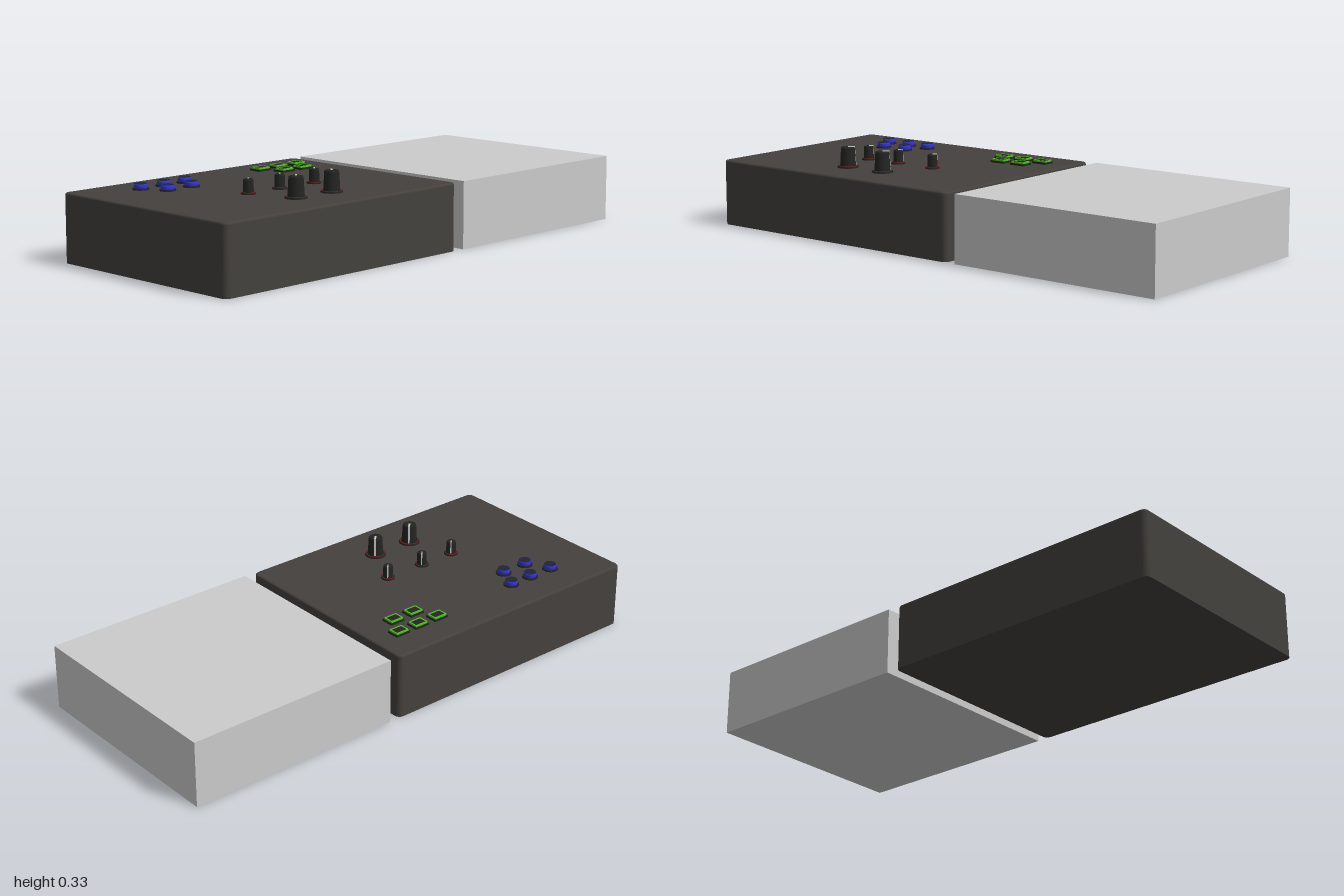
import * as THREE from 'three';

const material = (color) => new THREE.MeshStandardMaterial({ color });
const grey = material(0xcccccc);
const caseDark = material(0x44413d);
const black = material(0x242422);
const navy = material(0x22223f);
const blue = material(0x3434d8);
const green = material(0x4fc41c);
const red = material(0x8c1c1c);
const white = material(0xd8d8d4);

const TOP = 0.25; // height of the panel surface

function add(parent, name, geometry, mat, x = 0, y = 0, z = 0) {
  const mesh = new THREE.Mesh(geometry, mat);
  mesh.name = name;
  mesh.position.set(x, y, z);
  parent.add(mesh);
  return mesh;
}

function group(parent, name, x, z) {
  const g = new THREE.Group();
  g.name = name;
  g.position.set(x, TOP, z);
  parent.add(g);
  return g;
}

function lathe(points, segments = 32) {
  return new THREE.LatheGeometry(points.map(([r, y]) => new THREE.Vector2(r, y)), segments);
}

function rectangle(target, w, d, r) {
  const x = w / 2, y = d / 2;
  target.moveTo(-x + r, -y);
  target.lineTo(x - r, -y);
  target.absarc(x - r, -y + r, r, -Math.PI / 2, 0);
  target.lineTo(x, y - r);
  target.absarc(x - r, y - r, r, 0, Math.PI / 2);
  target.lineTo(-x + r, y);
  target.absarc(-x + r, y - r, r, Math.PI / 2, Math.PI);
  target.lineTo(-x, -y + r);
  target.absarc(-x + r, -y + r, r, Math.PI, Math.PI * 1.5);
  return target;
}

// Case with rounded corners, a soft top edge and a flat underside
function caseGeometry(w, h, d) {
  const bevel = 0.008;
  const geometry = new THREE.ExtrudeGeometry(rectangle(new THREE.Shape(), w - 2 * bevel, d - 2 * bevel, 0.014), {
    depth: h - bevel, bevelThickness: bevel, bevelSize: bevel, bevelSegments: 3, curveSegments: 6,
  });
  geometry.rotateX(-Math.PI / 2);
  const p = geometry.attributes.position;
  for (let i = 0; i < p.count; i++) p.setY(i, Math.max(0, p.getY(i)));
  geometry.computeVertexNormals();
  return geometry;
}

// Tapered knob on a skirt, with a pointer running over the top and down the side
function addKnob(parent, name, x, z, skirt, bottom, top, height) {
  const knob = group(parent, name, x, z);
  add(knob, 'skirt', new THREE.CylinderGeometry(skirt * 0.97, skirt, 0.006, 32), black, 0, 0.003, 0);
  const ring = add(knob, 'redRing', new THREE.TorusGeometry(skirt * 0.86, 0.0015, 6, 32), red, 0, 0.006, 0);
  ring.rotation.x = Math.PI / 2;
  add(knob, 'grip', lathe([
    [bottom, 0.005], [top + 0.002, height - 0.004], [top + 0.002, height - 0.004],
    [top, height], [top, height], [0, height],
  ], 24), black);
  const side = new THREE.Shape();
  side.moveTo(0, 0.008);
  side.lineTo(bottom + 0.001, 0.008);
  side.lineTo(top + 0.002, height + 0.002);
  side.lineTo(0, height + 0.002);
  const width = bottom * 0.24;
  const geometry = new THREE.ExtrudeGeometry(side, { depth: width, bevelEnabled: false });
  geometry.translate(0, 0, -width / 2);
  add(knob, 'pointer', geometry, white).rotation.y = Math.PI / 4;
}

function addRoundButton(parent, x, z) {
  const button = group(parent, 'roundButton', x, z);
  add(button, 'base', new THREE.CylinderGeometry(0.029, 0.03, 0.006, 32), black, 0, 0.003, 0);
  add(button, 'blueRim', lathe([
    [0.023, 0.005], [0.0245, 0.01], [0.0245, 0.016], [0.0235, 0.02], [0.021, 0.0215], [0, 0.0215],
  ]), blue);
  add(button, 'cap', new THREE.CylinderGeometry(0.022, 0.0225, 0.001, 32), navy, 0, 0.0217, 0);
}

function addSquareButton(parent, x, z) {
  const button = group(parent, 'squareButton', x, z);
  add(button, 'base', new THREE.BoxGeometry(0.062, 0.007, 0.05), black, 0, 0.0035, 0);
  const frame = rectangle(new THREE.Shape(), 0.056, 0.042, 0.003);
  frame.holes.push(rectangle(new THREE.Path(), 0.045, 0.031, 0.002));
  const geometry = new THREE.ExtrudeGeometry(frame, { depth: 0.006, bevelEnabled: false, curveSegments: 3 });
  add(button, 'greenFrame', geometry.rotateX(-Math.PI / 2), green, 0, 0.007, 0);
  add(button, 'key', new THREE.BoxGeometry(0.045, 0.005, 0.031), black, 0, 0.0095, 0);
}

export function createModel() {
  const model = new THREE.Group();
  model.name = 'controlBox';

  // Two bodies side by side
  add(model, 'controlCase', caseGeometry(1.115, TOP, 0.84), caseDark, -0.4425, 0, 0);
  add(model, 'sideBlock', new THREE.BoxGeometry(0.845, TOP, 0.84), grey, 0.5775, TOP / 2, 0);

  // Round buttons, back left of the panel
  for (const [x, z] of [[-0.77, -0.273], [-0.665, -0.273], [-0.567, -0.273], [-0.72, -0.187], [-0.61, -0.187]])
    addRoundButton(model, x, z);

  // Square buttons, back right of the panel
  for (const [x, z] of [[-0.183, -0.285], [-0.091, -0.285], [0, -0.285], [-0.138, -0.205], [-0.044, -0.205]])
    addSquareButton(model, x, z);

  // Knobs in two rows
  for (const x of [-0.57, -0.42, -0.25]) addKnob(model, 'smallKnob', x, 0.065, 0.027, 0.019, 0.016, 0.053);
  for (const x of [-0.513, -0.34]) addKnob(model, 'largeKnob', x, 0.243, 0.04, 0.03, 0.024, 0.077);

  return model;
}
